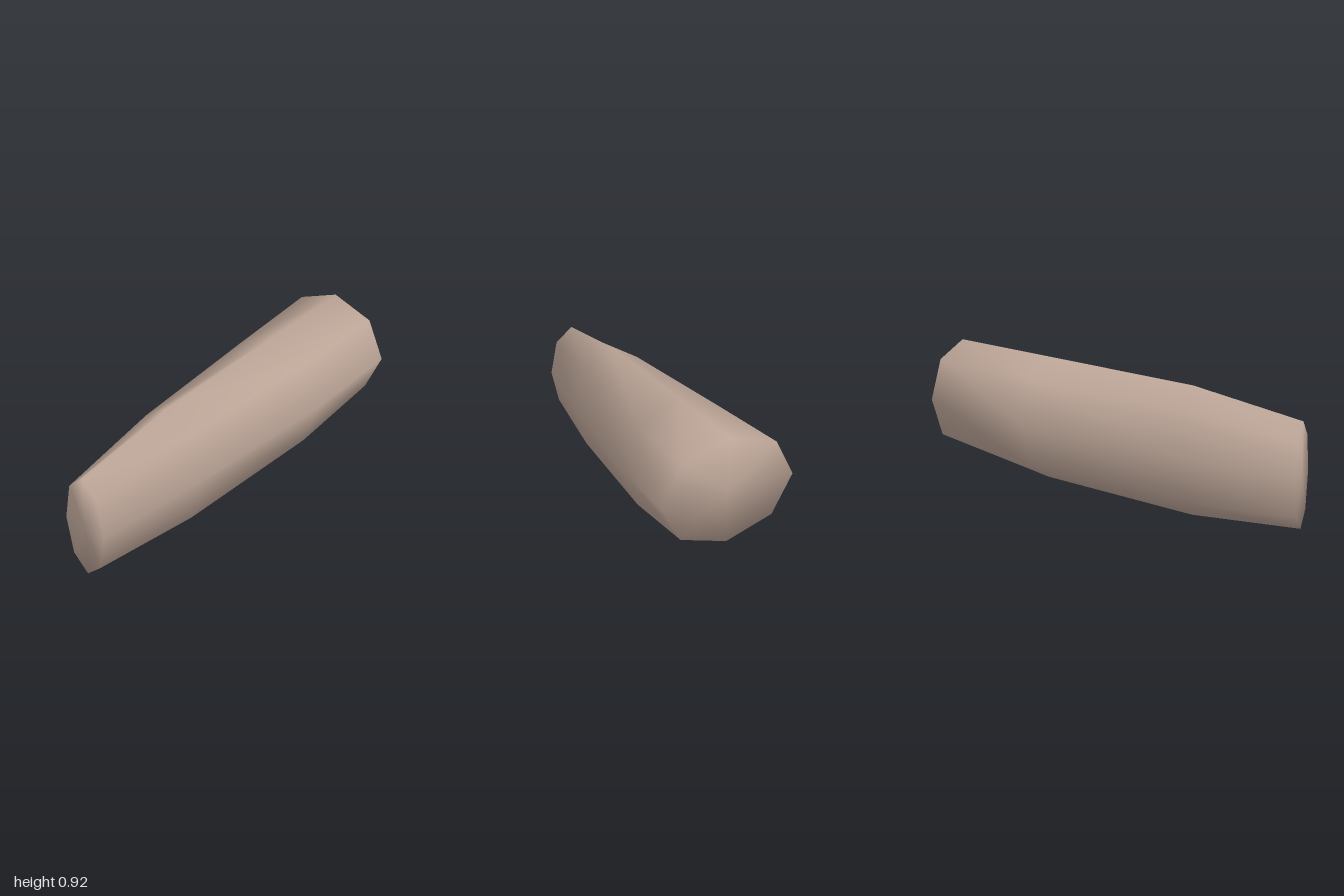
import * as THREE from 'three';

const SIDES = 8;

// Elliptical sections from back to front
const SECTIONS = [
  { z: -1.0, cy: 0.625, rx: 0.355, ry: 0.30 },
  { z: -0.46, cy: 0.505, rx: 0.322, ry: 0.345 },
  { z: 0.4, cy: 0.375, rx: 0.23, ry: 0.355 },
  { z: 1.0, cy: 0.288, rx: 0.142, ry: 0.287 },
];

// Closed loft whose vertices are shared with the end caps, so it shades softly
function loft(sections) {
  const positions = [];
  const index = [];
  for (const s of sections) {
    for (let k = 0; k < SIDES; k++) {
      const a = (k / SIDES) * Math.PI * 2;
      positions.push(-Math.sin(a) * s.rx, s.cy + Math.cos(a) * s.ry, s.z);
    }
  }
  const last = sections.length - 1;
  const backCentre = sections.length * SIDES;
  const frontCentre = backCentre + 1;
  for (const s of [sections[0], sections[last]]) positions.push(0, s.cy, s.z);

  for (let k = 0; k < SIDES; k++) {
    const n = (k + 1) % SIDES;
    // side panels
    for (let r = 0; r < last; r++) {
      const a = r * SIDES + k, b = r * SIDES + n;
      const c = a + SIDES, d = b + SIDES;
      index.push(a, b, d, a, d, c);
    }
    // end caps
    index.push(backCentre, n, k);
    index.push(frontCentre, last * SIDES + k, last * SIDES + n);
  }

  const geometry = new THREE.BufferGeometry();
  geometry.setAttribute('position', new THREE.Float32BufferAttribute(positions, 3));
  geometry.setIndex(index);
  geometry.computeVertexNormals();
  return geometry;
}

export function createModel() {
  const model = new THREE.Group();
  model.name = 'taperedLimb';
  const tan = new THREE.MeshStandardMaterial({ color: 0xbca597 });
  tan.name = 'dusty tan';
  const body = new THREE.Mesh(loft(SECTIONS), tan);
  body.name = 'taperedBody';
  model.add(body);
  return model;
}
